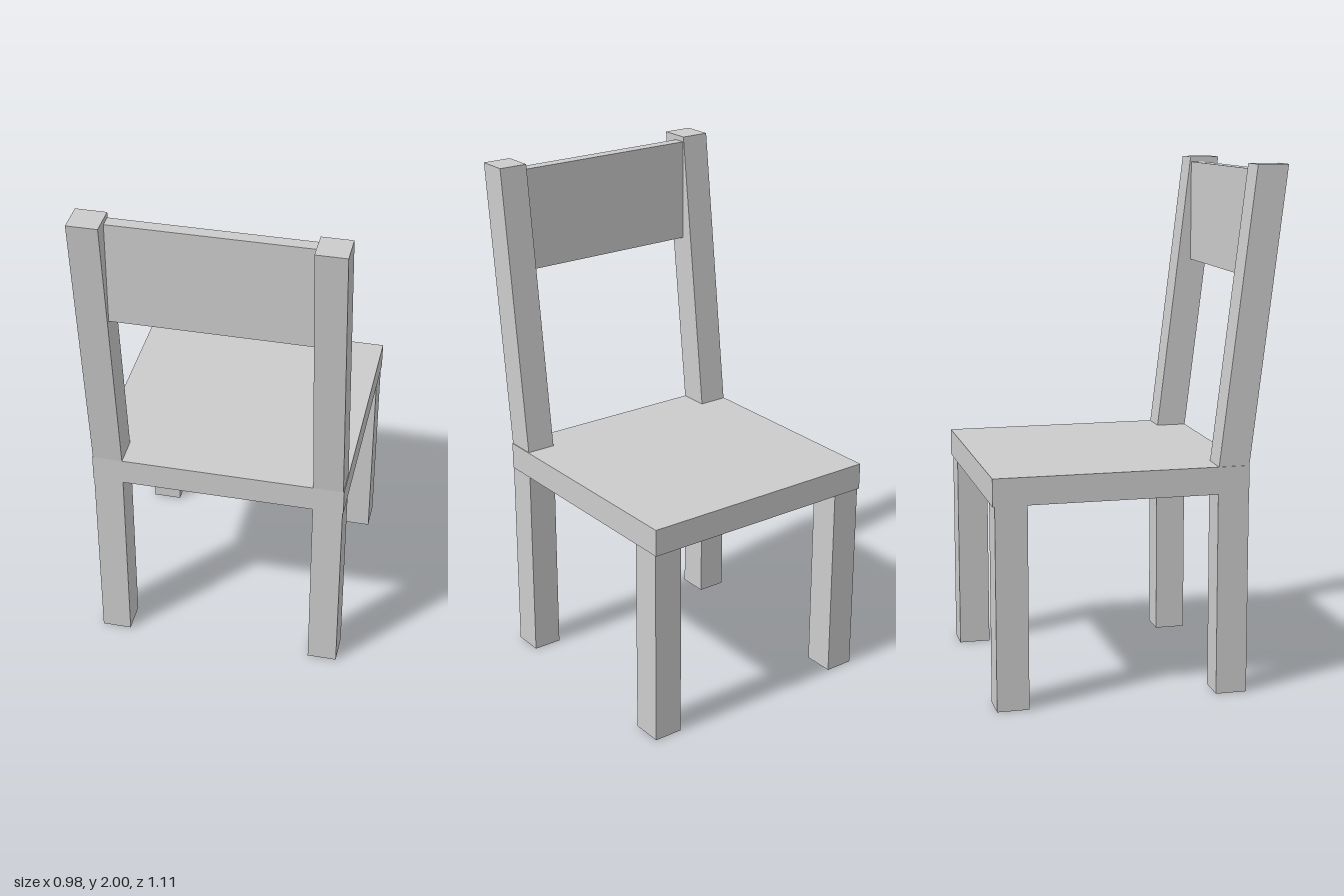
import * as THREE from 'three';

const material = new THREE.MeshStandardMaterial({ color: 0xcccccc, flatShading: true });

// Box given by its [min, max] extent on each axis
function box(name, [x0, x1], [y0, y1], [z0, z1]) {
  const mesh = new THREE.Mesh(new THREE.BoxGeometry(x1 - x0, y1 - y0, z1 - z0), material);
  mesh.position.set((x0 + x1) / 2, (y0 + y1) / 2, (z0 + z1) / 2);
  mesh.name = name;
  return mesh;
}

export function createModel() {
  const chair = new THREE.Group();
  chair.name = 'chair';

  const seatBottom = 0.78, seatTop = 0.885, height = 2;
  const inner = 0.372, outer = 0.487;

  // Seat slab, a hair wider than the legs
  chair.add(box('seat', [-0.49, 0.49], [seatBottom, seatTop], [-0.555, 0.42]));

  for (const [side, sign] of [['left', 1], ['right', -1]]) {
    const x = sign > 0 ? [inner, outer] : [-outer, -inner];

    // Straight legs under the seat
    chair.add(box(side + 'SeatEdgeLeg', x, [0, seatBottom], [-0.547, -0.425]));
    chair.add(box(side + 'BackrestLeg', x, [0, seatBottom], [0.3, 0.42]));

    // Back post: a box sheared so it leans away from the seat, ends level
    const post = box(side + 'BackPost', x, [seatTop, height], [0.302, 0.42]);
    const lean = 0.135 / (height - seatTop);
    post.geometry.applyMatrix4(new THREE.Matrix4().makeShear(0, 0, 0, lean, 0, 0));
    const p = post.geometry.attributes.position;
    const half = (height - seatTop) / 2;
    for (let i = 0; i < p.count; i++) {
      const back = p.getZ(i) > p.getY(i) * lean;
      p.setZ(i, (back ? 0.059 : -0.059) + (p.getY(i) + half) * lean);
    }
    post.geometry.computeVertexNormals();
    chair.add(post);
  }

  // Upright panel between the posts
  chair.add(box('backPanel', [-inner, inner], [1.58, 1.98], [0.44, 0.488]));

  return chair;
}
